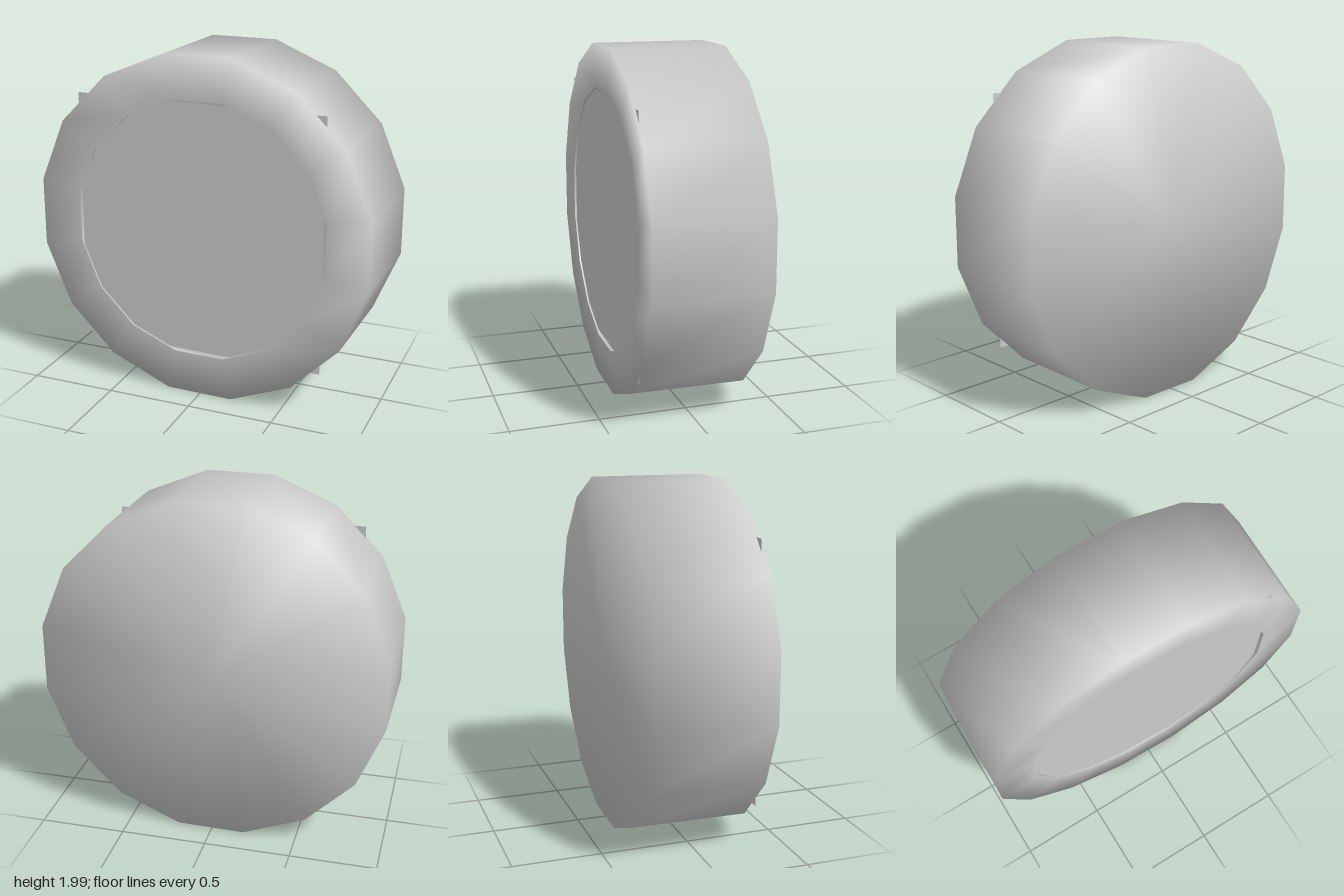
import * as THREE from 'three';

const SIDES = 16;
const HALF_DEPTH = 0.33;
const APOTHEM = 0.9935;
const toCorner = 1 / Math.cos(Math.PI / SIDES);
const OUTER = APOTHEM * toCorner;
const INNER = 0.7475 * toCorner;

// Spin a [radius, z] profile about the z axis, with a flat side on top
function spin(name, profile, material) {
  const geometry = new THREE.LatheGeometry(
    profile.map(([r, z]) => new THREE.Vector2(r, z)), SIDES, Math.PI / SIDES);
  // Lean the soft rim normals a little towards the outer wall
  const normals = geometry.attributes.normal;
  const n = new THREE.Vector3();
  for (let i = 0; i < normals.count; i++) {
    n.fromBufferAttribute(normals, i);
    n.y *= 0.78;
    n.normalize();
    normals.setXYZ(i, n.x, n.y, n.z);
  }
  geometry.rotateX(Math.PI / 2);
  const mesh = new THREE.Mesh(geometry, material);
  mesh.name = name;
  return mesh;
}

export function createModel() {
  const grey = new THREE.MeshStandardMaterial({ color: 0xcccccc, side: THREE.DoubleSide });
  grey.name = 'light grey';

  const body = new THREE.Group();
  body.name = 'drum';

  // Closed back, outer wall and front ring, softly shaded over the rims
  body.add(spin('shell', [
    [0, -HALF_DEPTH], [OUTER, -HALF_DEPTH], [OUTER, HALF_DEPTH], [INNER, HALF_DEPTH],
  ], grey));

  // Recess behind the face panel
  body.add(spin('recess', [
    [INNER, HALF_DEPTH], [INNER, HALF_DEPTH - 0.08], [0, HALF_DEPTH - 0.08],
  ], grey));

  // Square face panel whose corners just break through the outer wall
  const panel = new THREE.Mesh(new THREE.PlaneGeometry(1.466, 1.466), grey);
  panel.name = 'facePanel';
  panel.position.set(-0.004, 0.002, HALF_DEPTH - 0.01);
  body.add(panel);

  // The drum is turned very slightly
  body.rotation.y = -0.0202;
  body.position.y = APOTHEM;

  const model = new THREE.Group();
  model.name = 'model';
  model.add(body);
  return model;
}
